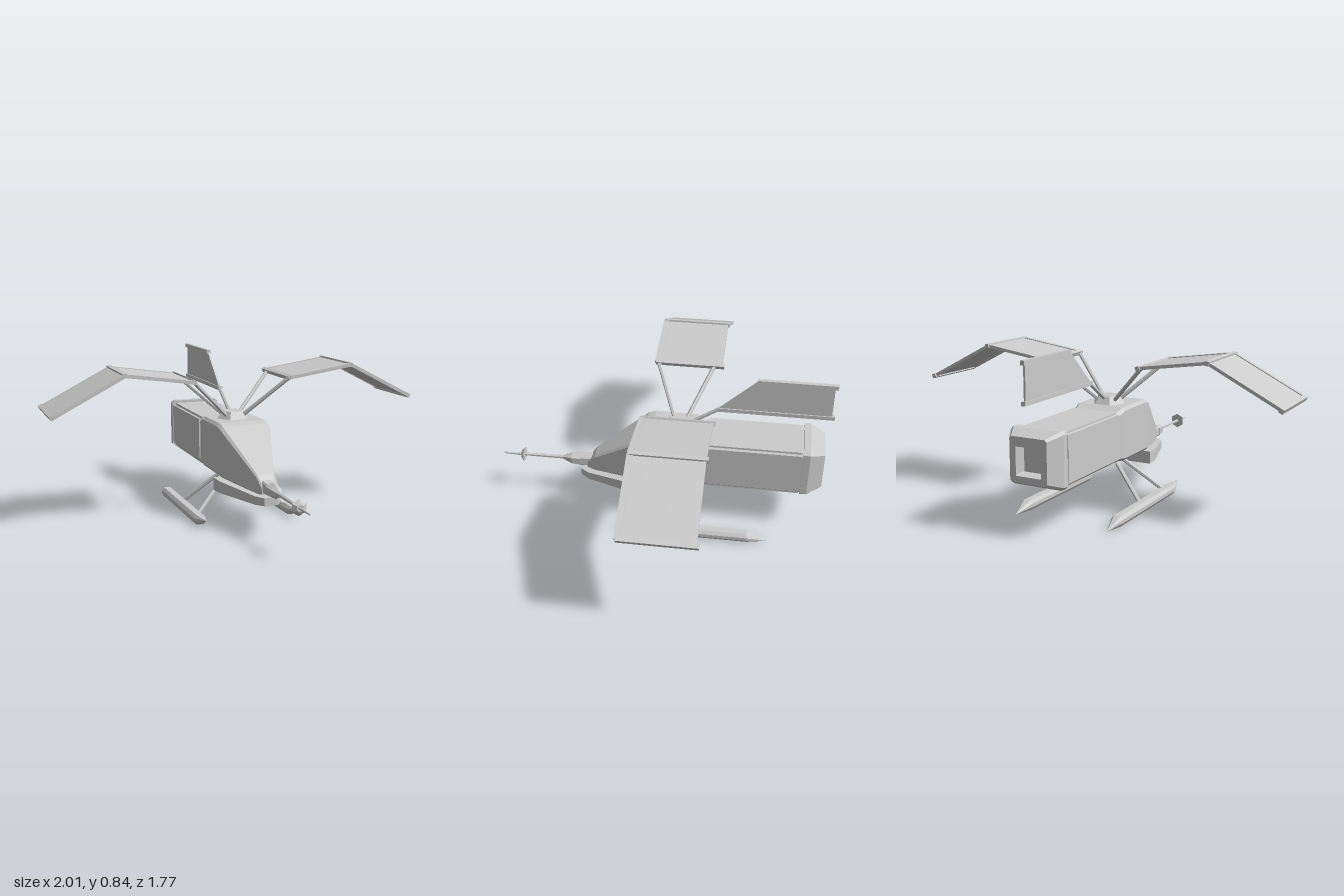
import * as THREE from 'three';

const mat = new THREE.MeshStandardMaterial({ color: 0xcccccc, flatShading: true });
const V = (x, y, z) => new THREE.Vector3(x, y, z);

// Skin a list of rings (each counter-clockwise seen from +z), running back to front
function loft(rings) {
  const pos = [];
  const tri = (...p) => p.forEach(q => pos.push(...q));
  const n = rings[0].length;
  for (let i = 0; i < rings.length - 1; i++) {
    for (let j = 0; j < n; j++) {
      const k = (j + 1) % n;
      const [a, b, c, d] = [rings[i][j], rings[i][k], rings[i + 1][k], rings[i + 1][j]];
      tri(a, b, c);
      tri(a, c, d);
    }
  }
  const first = rings[0], last = rings[rings.length - 1];
  for (let j = 1; j < n - 1; j++) {
    tri(first[0], first[j + 1], first[j]);
    tri(last[0], last[j], last[j + 1]);
  }
  const g = new THREE.BufferGeometry();
  g.setAttribute('position', new THREE.Float32BufferAttribute(pos, 3));
  g.computeVertexNormals();
  return g;
}

// Chamfered rectangle ring: half width, bottom, top, z, chamfer
function ring(w, y0, y1, z, c = 0.015) {
  return [[w - c, y0, z], [w, y0 + c, z], [w, y1 - c, z], [w - c, y1, z],
    [-w + c, y1, z], [-w, y1 - c, z], [-w, y0 + c, z], [-w + c, y0, z]];
}

export function createModel() {
  const model = new THREE.Group();
  const add = (name, geo, parent = model) => {
    const m = new THREE.Mesh(geo, mat);
    m.name = name;
    parent.add(m);
    return m;
  };
  const box = (name, w, h, d, x, y, z, parent) => {
    const m = add(name, new THREE.BoxGeometry(w, h, d), parent);
    m.position.set(x, y, z);
    return m;
  };
  const rod = (name, a, b, r, parent, r2 = r, sides = 6) => {
    const m = add(name, new THREE.CylinderGeometry(r2, r, a.distanceTo(b), sides), parent);
    m.position.copy(a).add(b).multiplyScalar(0.5);
    m.quaternion.setFromUnitVectors(V(0, 1, 0), b.clone().sub(a).normalize());
    return m;
  };

  // Cabin with sloping windshield
  add('cabin', loft([
    ring(0.132, 0.245, 0.49, -0.235),
    ring(0.142, 0.235, 0.513, -0.18),
    ring(0.142, 0.235, 0.516, 0.05),
    ring(0.139, 0.232, 0.505, 0.09),
    ring(0.05, 0.207, 0.305, 0.365, 0.008),
    ring(0.035, 0.215, 0.25, 0.41, 0.006),
  ]));

  // Rear hull with raised panels
  add('rearHull', loft([ring(0.134, 0.24, 0.492, -0.75), ring(0.134, 0.24, 0.492, -0.22)]));
  box('topPanel', 0.245, 0.01, 0.49, 0, 0.494, -0.488);
  box('bottomPanel', 0.245, 0.01, 0.49, 0, 0.24, -0.488);
  for (const s of [1, -1]) box('sidePanel', 0.01, 0.22, 0.49, s * 0.136, 0.378, -0.488);

  // Tail block with square recessed outlet
  add('tailBlock', loft([
    ring(0.055, 0.31, 0.425, -0.8, 0.002),
    ring(0.068, 0.3, 0.44, -0.85, 0.002),
    ring(0.1, 0.268, 0.485, -0.85, 0.01),
    ring(0.142, 0.236, 0.512, -0.775),
    ring(0.142, 0.234, 0.512, -0.74),
  ]));

  // Chin plate: tapered plan with its top rising toward the back
  const plan = [[-0.165, 0.06], [-0.158, 0.13], [-0.07, 0.4], [-0.035, 0.445],
    [0.035, 0.445], [0.07, 0.4], [0.158, 0.13], [0.165, 0.06]];
  const chin = new THREE.ExtrudeGeometry(
    new THREE.Shape(plan.map(([x, z]) => new THREE.Vector2(x, -z))),
    { depth: 0.04, bevelEnabled: false });
  chin.rotateX(-Math.PI / 2).translate(0, 0.165, 0);
  const cp = chin.attributes.position;
  for (let i = 0; i < cp.count; i++) {
    if (cp.getY(i) > 0.18) cp.setY(i, 0.232 - 0.07 * (cp.getZ(i) - 0.06));
  }
  chin.computeVertexNormals();
  add('chinPlate', chin);

  // Nose probe
  const probe = new THREE.Group();
  probe.name = 'noseProbe';
  model.add(probe);
  add('probeNeck', loft([ring(0.03, 0.222, 0.282, 0.36, 0.008), ring(0.03, 0.218, 0.274, 0.46, 0.008)]), probe);
  rod('probeCollar', V(0, 0.247, 0.45), V(0, 0.247, 0.5), 0.038, probe, 0.034);
  rod('probeTaper', V(0, 0.247, 0.5), V(0, 0.247, 0.55), 0.034, probe, 0.012);
  rod('probeRod', V(0, 0.247, 0.54), V(0, 0.243, 0.8), 0.011, probe, 0.008);
  rod('probeDisc', V(0, 0.244, 0.768), V(0, 0.244, 0.785), 0.042, probe, 0.02);
  rod('probeTip', V(0, 0.243, 0.79), V(0, 0.242, 0.885), 0.009, probe, 0.004);

  // Hubs above and below the cabin
  for (const [name, rt, rb, h, y] of [['topHub', 0.06, 0.09, 0.04, 0.533], ['bottomHub', 0.08, 0.05, 0.04, 0.221]]) {
    const hub = new THREE.CylinderGeometry(rt, rb, h, 6);
    hub.rotateY(Math.PI / 2);
    add(name, hub).position.set(0, y, -0.09);
  }

  // Wings, built on +x and mirrored by sign
  const wingLine = [[0.265, 0.738], [0.625, 0.79], [0.99, 0.602]];
  for (const s of [1, -1]) {
    const wing = new THREE.Group();
    wing.name = s > 0 ? 'leftWing' : 'rightWing';
    model.add(wing);
    for (let i = 0; i < 2; i++) {
      const [x0, y0] = wingLine[i], [x1, y1] = wingLine[i + 1];
      const len = Math.hypot(x1 - x0, y1 - y0), tilt = s * Math.atan2(y1 - y0, x1 - x0);
      const cx = s * (x0 + x1) / 2, cy = (y0 + y1) / 2;
      box('wingPanel', len, 0.01, 0.36, cx, cy, -0.105, wing).rotation.z = tilt;
      box('leadingEdge', len, 0.018, 0.03, cx, cy, 0.062, wing).rotation.z = tilt;
      box('trailingEdge', len, 0.016, 0.012, cx, cy, -0.279, wing).rotation.z = tilt;
    }
    wingLine.forEach(([x, y], i) => {
      box('wingRail', 0.022, 0.022, 0.365, s * x, y, -0.112, wing).rotation.z = s * [0.4, -0.15, -0.47][i];
    });
    rod('frontStrut', V(s * 0.045, 0.53, -0.06), V(s * 0.262, 0.735, 0.055), 0.011, wing);
    rod('rearStrut', V(s * 0.045, 0.53, -0.12), V(s * 0.262, 0.735, -0.24), 0.011, wing);
  }

  // Tail fin, its rails and strut
  const finShape = new THREE.Shape([[0.285, 0.645], [0.865, 0.645], [0.865, 0.83], [0.485, 0.83]]
    .map(p => new THREE.Vector2(...p)));
  const fin = new THREE.ExtrudeGeometry(finShape, { depth: 0.01, bevelEnabled: false });
  fin.translate(0, 0, -0.005).rotateY(Math.PI / 2);
  add('tailFin', fin);
  box('finTopRail', 0.022, 0.022, 0.4, 0, 0.828, -0.68);
  box('finBottomRail', 0.022, 0.02, 0.595, 0, 0.645, -0.582);
  rod('finStrut', V(0, 0.53, -0.12), V(0, 0.65, -0.3), 0.011);

  // Landing skids with pointed ends, and legs
  for (const s of [1, -1]) {
    const gear = new THREE.Group();
    gear.name = s > 0 ? 'leftLandingGear' : 'rightLandingGear';
    model.add(gear);
    const x = s * 0.26;
    const hex = z => [[x + 0.018, 0, z], [x + 0.031, 0.018, z], [x + 0.031, 0.036, z], [x + 0.018, 0.052, z],
      [x - 0.018, 0.052, z], [x - 0.031, 0.036, z], [x - 0.031, 0.018, z], [x - 0.018, 0, z]];
    const point = (y, z) => Array.from({ length: 8 }, () => [x, y, z]);
    add('skid', loft([point(0.004, -0.59), hex(-0.485), hex(0.11), point(0.05, 0.22)]), gear);
    rod('frontLeg', V(s * 0.04, 0.225, -0.065), V(x * 0.97, 0.035, 0.05), 0.011, gear);
    rod('rearLeg', V(s * 0.04, 0.225, -0.115), V(x * 0.97, 0.035, -0.225), 0.011, gear);
  }
  return model;
}
